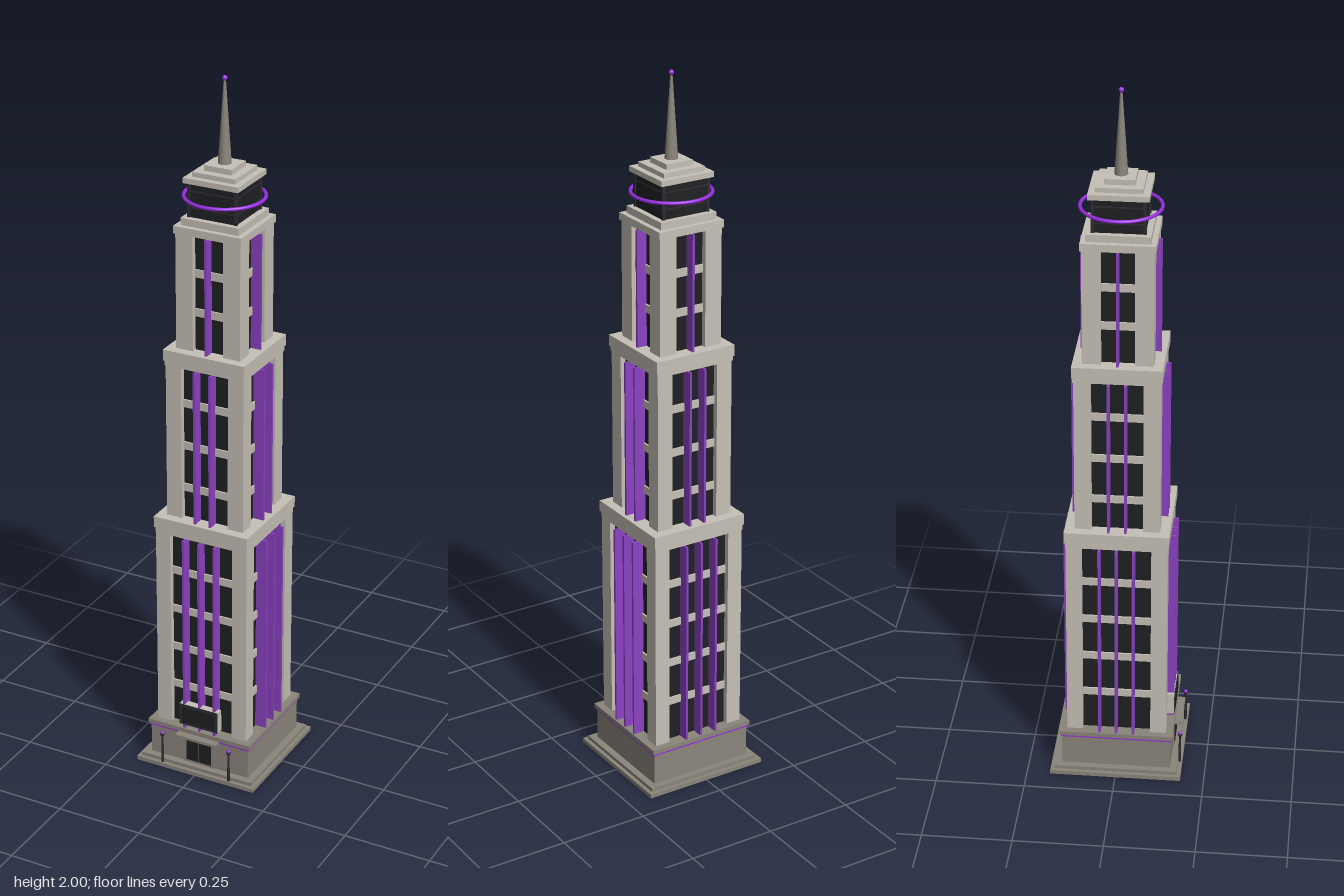
import * as THREE from 'three';

const mat = (name, color) => Object.assign(new THREE.MeshStandardMaterial({ color }), { name });

export function createModel() {
  const stone = mat('pale stone', 0xc6c1b7);
  const base = mat('base stone', 0x8b857b);
  const glass = mat('dark glass', 0x1f2023);
  const metal = mat('dark metal', 0x2e2c32);
  const violet = mat('bright violet', 0x982de4);
  const finViolet = mat('soft violet', 0x8b42c2);

  const tower = new THREE.Group();
  tower.name = 'tower';

  const add = (parent, name, geo, m, x = 0, y = 0, z = 0) => {
    const mesh = new THREE.Mesh(geo, m);
    mesh.name = name;
    mesh.position.set(x, y, z);
    parent.add(mesh);
    return mesh;
  };
  // Box given by its extents
  const box = (parent, name, m, x0, x1, y0, y1, z0, z1) =>
    add(parent, name, new THREE.BoxGeometry(x1 - x0, y1 - y0, z1 - z0), m,
      (x0 + x1) / 2, (y0 + y1) / 2, (z0 + z1) / 2);
  // Centred square slab with half width h
  const slab = (parent, name, m, h, y0, y1) => box(parent, name, m, -h, h, y0, y1, -h, h);

  // Stepped plinth and base
  slab(tower, 'plinth', base, 0.184, 0, 0.012);
  slab(tower, 'plinthStep', base, 0.173, 0.012, 0.022);
  slab(tower, 'baseBlock', base, 0.153, 0.022, 0.117);
  slab(tower, 'baseLightBand', violet, 0.156, 0.111, 0.117);
  slab(tower, 'baseTrim', base, 0.159, 0.117, 0.13);

  // Three tiers: glass core, corner piers, spandrels and vertical fins
  const tiers = [
    { name: 'lowerTier', y0: 0.13, y1: 0.722, half: 0.139, inner: 0.095, bands: [0.25, 0.37, 0.49, 0.61], fins: [-0.047, 0, 0.047], finOut: 0.155 },
    { name: 'middleTier', y0: 0.77, y1: 1.216, half: 0.116, inner: 0.07, bands: [0.86, 0.985, 1.11], fins: [-0.023, 0.023], finOut: 0.132 },
    { name: 'upperTier', y0: 1.26, y1: 1.587, half: 0.095, inner: 0.045, bands: [1.37, 1.48], fins: [0], finOut: 0.108 },
  ];
  for (const t of tiers) {
    const tier = new THREE.Group();
    tier.name = t.name;
    tower.add(tier);
    const core = t.half - 0.016;
    slab(tier, 'glassCore', glass, core, t.y0, t.y1);
    const w = t.half - t.inner, c = (t.half + t.inner) / 2, h = t.y1 - t.y0;
    for (const sx of [-1, 1]) for (const sz of [-1, 1])
      add(tier, 'cornerPier', new THREE.BoxGeometry(w, h, w), stone, sx * c, t.y0 + h / 2, sz * c);
    for (const y of t.bands) slab(tier, 'spandrel', stone, core + 0.005, y - 0.011, y + 0.011);
    for (let i = 0; i < 4; i++) {
      const side = new THREE.Group();
      side.name = 'facade';
      side.rotation.y = i * Math.PI / 2;
      tier.add(side);
      for (const x of t.fins)
        box(side, 'fin', finViolet, x - 0.0033, x + 0.0033, t.y0, t.y1, core - 0.003, t.finOut);
    }
  }

  // Cornices between the tiers
  slab(tower, 'lowerCorniceFoot', stone, 0.14, 0.722, 0.738);
  slab(tower, 'lowerCornice', stone, 0.143, 0.738, 0.77);
  slab(tower, 'middleCorniceFoot', stone, 0.118, 1.216, 1.23);
  slab(tower, 'middleCornice', stone, 0.121, 1.23, 1.262);
  slab(tower, 'upperCornice', stone, 0.099, 1.587, 1.608);
  slab(tower, 'lanternFoot', stone, 0.085, 1.608, 1.628);

  // Glazed lantern with metal grid
  slab(tower, 'lantern', glass, 0.069, 1.628, 1.722);
  for (const sx of [-1, 1]) for (const sz of [-1, 1])
    box(tower, 'lanternPost', metal, sx * 0.068 - 0.004, sx * 0.068 + 0.004, 1.628, 1.722, sz * 0.068 - 0.004, sz * 0.068 + 0.004);
  for (const y of [1.655, 1.7]) slab(tower, 'lanternRail', metal, 0.0705, y - 0.002, y + 0.002);
  const ring = add(tower, 'haloRing', new THREE.TorusGeometry(0.107, 0.005, 10, 64), violet, 0, 1.677, 0);
  ring.rotation.x = Math.PI / 2;

  // Stepped roof and spire
  slab(tower, 'roof', stone, 0.08, 1.722, 1.737);
  slab(tower, 'roofStep', stone, 0.0625, 1.737, 1.75);
  slab(tower, 'roofCap', stone, 0.04, 1.75, 1.765);
  add(tower, 'spire', new THREE.CylinderGeometry(0.003, 0.018, 0.225, 16), base, 0, 1.8775, 0);
  add(tower, 'spireBeacon', new THREE.SphereGeometry(0.007, 16, 12), violet, 0, 1.993, 0);

  // Entrance: canopy, portal and doors
  box(tower, 'canopy', base, -0.064, 0.064, 0.108, 0.116, 0.15, 0.179);
  box(tower, 'portal', base, -0.048, 0.048, 0.022, 0.108, 0.15, 0.156);
  for (const s of [-1, 1])
    box(tower, 'door', glass, s * 0.02 - 0.019, s * 0.02 + 0.019, 0.03, 0.104, 0.153, 0.158);

  // Panel above the entrance
  box(tower, 'panelBox', stone, -0.06, 0.06, 0.142, 0.207, 0.135, 0.156);
  box(tower, 'panelFrame', metal, -0.06, 0.06, 0.142, 0.207, 0.156, 0.1575);
  box(tower, 'panelScreen', glass, -0.051, 0.051, 0.15, 0.199, 0.157, 0.159);

  // Lamp posts
  for (const s of [-1, 1]) {
    add(tower, 'lampPost', new THREE.CylinderGeometry(0.003, 0.004, 0.09, 10), metal, s * 0.105, 0.057, 0.177);
    add(tower, 'lampCollar', new THREE.CylinderGeometry(0.007, 0.005, 0.005, 12), metal, s * 0.105, 0.102, 0.177);
    add(tower, 'lampGlobe', new THREE.SphereGeometry(0.0055, 14, 10), violet, s * 0.105, 0.108, 0.177);
  }
  return tower;
}
